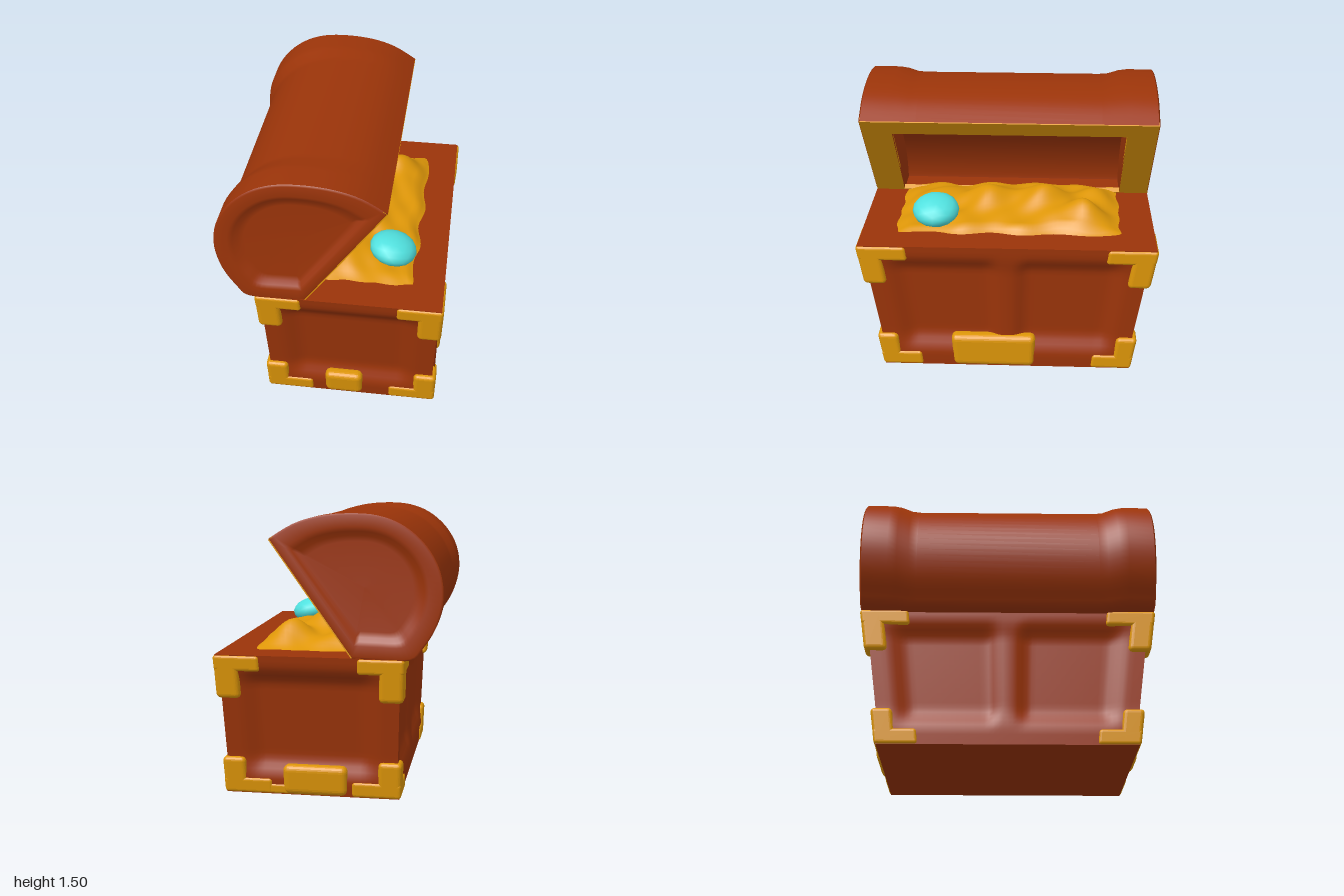
import * as THREE from 'three';
import { RoundedBoxGeometry } from 'three/addons/geometries/RoundedBoxGeometry.js';

const H = 0.77, HX = 0.805, HZ = 0.49, CZ = 0.09; // base height, half width, half depth, centre

// Surface through successive rings of [x, y, z] points
function loft(rings, { closed = false, flip = false } = {}) {
  const n = rings[0].length, pos = rings.flat(2), idx = [];
  for (let i = 0; i < rings.length - 1; i++) {
    for (let j = 0; j < (closed ? n : n - 1); j++) {
      const k = (j + 1) % n;
      const a = i * n + j, b = (i + 1) * n + j, c = i * n + k, d = (i + 1) * n + k;
      if (flip) idx.push(a, c, b, b, c, d);
      else idx.push(a, b, c, b, d, c);
    }
  }
  const g = new THREE.BufferGeometry();
  g.setAttribute('position', new THREE.Float32BufferAttribute(pos, 3));
  g.setIndex(idx);
  g.computeVertexNormals();
  return g;
}

// Move every vertex by a rule
function warp(g, rule) {
  const p = g.attributes.position, v = new THREE.Vector3();
  for (let i = 0; i < p.count; i++) {
    rule(v.fromBufferAttribute(p, i));
    p.setXYZ(i, v.x, v.y, v.z);
  }
  g.computeVertexNormals();
  return g;
}

// The chest body narrows towards the floor
function taper(v) {
  const t = v.y / H;
  v.x *= (0.69 + 0.115 * t) / HX;
  v.z = CZ + v.z * (0.465 + 0.025 * t) / HZ;
}

const step = THREE.MathUtils.smoothstep;

export function createModel() {
  const wood = new THREE.MeshStandardMaterial({ color: 0x9b3409, side: THREE.DoubleSide });
  wood.name = 'redWood';
  const gold = new THREE.MeshStandardMaterial({ color: 0xdf9708 });
  gold.name = 'gold';
  const cyan = new THREE.MeshStandardMaterial({ color: 0x50e0de });
  cyan.name = 'cyanGem';

  const model = new THREE.Group();
  model.name = 'treasureChest';
  const add = (name, geo, mat, parent = model) => {
    const m = new THREE.Mesh(geo, mat);
    m.name = name;
    parent.add(m);
    return m;
  };

  // Body with sunken panels and a ridge in the middle of front and back
  const body = new THREE.BoxGeometry(2 * HX, H, 2 * HZ, 56, 28, 36).translate(0, H / 2, 0);
  add('chestBody', warp(body, v => {
    const t = v.y / H, ax = Math.abs(v.x), az = Math.abs(v.z);
    const onZ = az > HZ - 1e-4, onX = ax > HX - 1e-4;
    const band = step(t, 0.1, 0.28) * (1 - step(t, 0.78, 0.93));
    const sx = Math.sign(v.x), sz = Math.sign(v.z);
    if (onZ) v.z -= sz * 0.036 * band * (1 - step(ax, 0.58, 0.71)) * step(ax, 0.03, 0.13);
    if (onX) v.x -= sx * 0.036 * band * (1 - step(az, 0.27, 0.4));
    v.x *= 1 - 0.028 * band;
    v.z *= 1 - 0.028 * band;
    taper(v);
  }), wood);

  // Gold pieces are placed on the straight body, then tapered with it
  const fitting = (name, parent, sx, sy, sz, x, y, z, r = 0.018) =>
    add(name, warp(new RoundedBoxGeometry(sx, sy, sz, 3, r).translate(x, y, z), taper), gold, parent);

  // Corner brackets, top and bottom
  const out = 0.01;
  for (const sx of [-1, 1]) for (const sz of [-1, 1]) for (const top of [true, false]) {
    const g = new THREE.Group();
    g.name = top ? 'topCornerBracket' : 'bottomCornerBracket';
    model.add(g);
    const postH = top ? 0.235 : 0.2, armH = 0.085;
    const arm = top ? 0.27 : 0.265, sideArm = top ? 0.245 : 0.275;
    const y = h => top ? H - 0.002 - h / 2 : 0.001 + h / 2;
    const cx = w => sx * (HX + out - w / 2), cz = w => sz * (HZ + out - w / 2);
    fitting('bracketPost', g, 0.13, postH, 0.13, cx(0.13), y(postH), cz(0.13), 0.025);
    fitting('bracketLongArm', g, arm, armH, 0.09, cx(arm), y(armH), cz(0.09));
    fitting('bracketSideArm', g, 0.09, armH, sideArm, cx(0.09), y(armH), cz(sideArm));
  }

  // Plates along the bottom edge
  fitting('frontPlate', model, 0.53, 0.2, 0.09, -0.085, 0.101, HZ - 0.028, 0.035);
  fitting('leftPlate', model, 0.09, 0.165, 0.36, HX - 0.022, 0.086, -0.02, 0.035);
  fitting('leftEdgeStrip', model, 0.06, 0.055, 0.5, HX - 0.023, 0.029, 0.15, 0.015);
  fitting('rightPlate', model, 0.09, 0.155, 0.22, -HX + 0.018, 0.09, -0.04, 0.035);

  // Heap of gold: a lumpy sheet that sinks into the body at its rim
  const lumps = [[-0.12, 0.08, 0.1, 0.12], [0.2, 0.09, 0.1, 0.12], [0.42, 0.25, 0.11, 0.1], [-0.4, 0.03, 0.06, 0.13],
    [0.1, 0.12, 0.045, 0.3], [0.48, 0.0, 0.05, 0.1], [-0.25, 0.3, 0.025, 0.1], [0.28, 0.3, 0.02, 0.08]];
  const heap = new THREE.PlaneGeometry(1.36, 0.68, 60, 30).rotateX(-Math.PI / 2);
  add('goldHeap', warp(heap, v => {
    const e = Math.max(Math.abs(v.x) / 0.68, Math.abs(v.z) / 0.34);
    v.z += 0.1 + 0.012 * Math.sin(v.x * 17);
    let h = 0.02 + 0.008 * Math.sin(v.x * 23 + v.z * 9) * Math.sin(v.z * 27);
    for (const [x, z, a, r] of lumps) h += a * Math.exp(-((v.x - x) ** 2 + (v.z - z) ** 2) / (r * r));
    v.y = H - 0.012 + (h + 0.01) * (1 - step(e, 0.78, 1));
  }), gold);

  // Gem lying on the heap
  const gem = add('gem', new THREE.IcosahedronGeometry(1, 2), cyan);
  gem.scale.set(0.13, 0.075, 0.13);
  gem.position.set(-0.405, 0.85, 0.285);
  gem.rotation.set(0.2, 0.3, 0);

  // Lid: D profile in z and y from the front lip over the back to the hinge
  const lid = new THREE.Group();
  lid.name = 'lid';
  model.add(lid);
  const lip = new THREE.Vector2(0.285, 1.37), hinge = new THREE.Vector2(-0.14, 0.77);
  const profile = new THREE.SplineCurve([[0.285, 1.37], [0.16, 1.445], [0.03, 1.485], [-0.12, 1.5], [-0.27, 1.49],
    [-0.4, 1.44], [-0.51, 1.345], [-0.58, 1.22], [-0.598, 1.08], [-0.565, 0.94], [-0.5, 0.83], [-0.44, 0.768],
    [-0.29, 0.766], [-0.14, 0.77]].map(p => new THREE.Vector2(...p))).getPoints(52);
  const along = hinge.clone().sub(lip), len = along.length();
  along.normalize();
  // Profile at x with its bulge scaled by k and its chord trimmed at the lip
  const section = (x, k = 1, trim = 0) => profile.map(p => {
    const d = p.clone().sub(lip), s = d.dot(along);
    const foot = lip.clone().addScaledVector(along, s);
    const q = foot.clone().addScaledVector(p.clone().sub(foot), k);
    q.addScaledVector(along, trim * (1 - s / len));
    return [x, q.y, q.x];
  });
  const shrink = (ring, k, x) => ring.map(([, y, z]) => [x, 1.13 + (y - 1.13) * k, -0.2 + (z + 0.2) * k]);

  const stations = [[-0.8, 1], [-0.66, 1], [-0.61, 0.985], [-0.55, 0.945], [-0.5, 0.935]];
  const mirrored = stations.map(([x, k]) => [-x, k]).reverse();
  add('lidShell', loft([...stations, ...mirrored].map(([x, k]) => section(x, k))), wood, lid);

  // Lid ends with a sunken D panel, and the walls of the shallow hollow inside
  const hollow = 0.36;
  for (const s of [-1, 1]) {
    const ends = [[1, 0.8], [0.975, 0.808], [0.82, 0.808], [0.76, 0.798], [0.7, 0.782], [0.62, 0.774], [0, 0.774]];
    add('lidEnd', loft(ends.map(([k, x]) => shrink(section(0), k, s * x)), { closed: true, flip: s < 0 }), wood, lid);
    const wall = section(s * 0.64, hollow, 0.115);
    const middle = wall[26];
    add('lidInnerWall', loft([wall, wall.map(() => middle)], { closed: true, flip: s > 0 }), wood, lid);
  }
  add('lidInside', loft([section(-0.64, hollow, 0.115), section(0.64, hollow, 0.115)], { flip: true }), wood, lid);

  // Gold frame around the lid opening
  const rect = (C, x, y0, y1) => {
    const c = new C();
    c.moveTo(-x, y0); c.lineTo(x, y0); c.lineTo(x, y1); c.lineTo(-x, y1); c.closePath();
    return c;
  };
  const frame = rect(THREE.Shape, 0.803, 0.002, len - 0.003);
  frame.holes.push(rect(THREE.Path, 0.64, 0.01, len - 0.115));
  const frameGeo = new THREE.ExtrudeGeometry(frame, { depth: 0.03, bevelEnabled: false }).translate(0, 0, -0.026);
  frameGeo.applyMatrix4(new THREE.Matrix4().makeBasis(
    new THREE.Vector3(1, 0, 0),
    new THREE.Vector3(0, -along.y, -along.x),
    new THREE.Vector3(0, along.x, -along.y)
  ).setPosition(0, hinge.y, hinge.x));
  add('lidFrame', frameGeo, gold, lid);

  // The chest stands turned on the floor
  model.rotation.y = 0.564;
  const root = new THREE.Group();
  root.name = 'chest';
  root.add(model);
  return root;
}
